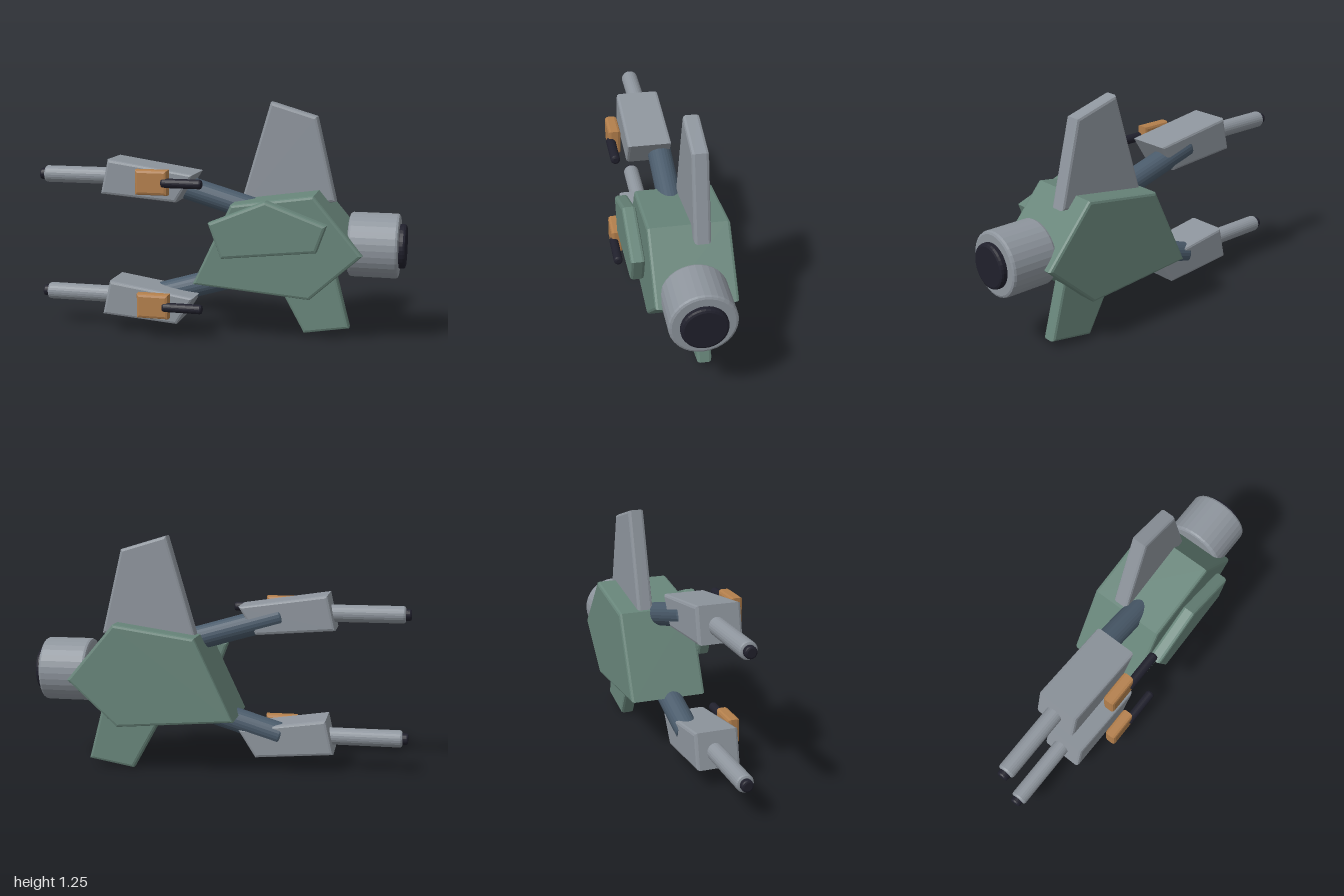
import * as THREE from 'three';

const paint = (name, color) => {
  const m = new THREE.MeshStandardMaterial({ color });
  m.name = name;
  return m;
};

export function createModel() {
  const green = paint('hull green', 0x68857a);
  const grey = paint('light grey', 0x8e959d);
  const blue = paint('strut blue', 0x4a5b6b);
  const orange = paint('orange', 0xb37f4c);
  const dark = paint('dark', 0x20202c);

  const model = new THREE.Group();
  model.name = 'spacecraft';
  const add = (parent, name, geometry, material) => {
    const mesh = new THREE.Mesh(geometry, material);
    mesh.name = name;
    parent.add(mesh);
    return mesh;
  };

  // Bevelled slab: an outline in x/y filling the depth z0..z1
  const slab = (outline, z0, z1, bevel = 0.015) => {
    const shape = new THREE.Shape(outline.map(([x, y]) => new THREE.Vector2(x, y)));
    const geometry = new THREE.ExtrudeGeometry(shape, {
      depth: z1 - z0 - 2 * bevel, bevelEnabled: true, bevelThickness: bevel,
      bevelSize: bevel, bevelOffset: -bevel, bevelSegments: 2,
    });
    return geometry.translate(0, 0, z0 + bevel);
  };

  // Faceted round bar along x with softened rims
  const bar = (x0, x1, y, z, r, bevel, sides = 24) => {
    const profile = [
      [0, x0], [r - bevel, x0], [r - bevel * 0.3, x0 + bevel * 0.3], [r, x0 + bevel],
      [r, x1 - bevel], [r - bevel * 0.3, x1 - bevel * 0.3], [r - bevel, x1], [0, x1],
    ].map(([a, b]) => new THREE.Vector2(a, b));
    const geometry = new THREE.LatheGeometry(profile, sides).rotateZ(-Math.PI / 2).toNonIndexed();
    geometry.computeVertexNormals();
    return geometry.translate(0, y, z);
  };

  // Body and its outer armour plate
  add(model, 'hull', slab([[-0.105, 0.3], [0.52, 0.25], [0.79, 0.495], [0.535, 0.798], [0.1, 0.735]],
    -0.257, 0.16), green);
  add(model, 'sidePlate', slab([[0, 0.65], [0.07, 0.465], [0.565, 0.52], [0.615, 0.66], [0.3, 0.775]],
    0.178, 0.25), green);

  // Fins
  add(model, 'upperFin', slab([[0.1, 0.68], [0.622, 0.735], [0.515, 1.183], [0.268, 1.257]],
    -0.146, -0.06), grey);
  add(model, 'lowerFin', slab([[0.46, 0.003], [0.706, 0.045], [0.625, 0.355], [0.28, 0.33]],
    -0.148, -0.07), green);

  // Engine
  add(model, 'engine', bar(0.705, 0.965, 0.52, -0.043, 0.17, 0.015, 32), grey);
  add(model, 'engineNozzle', bar(0.955, 1, 0.52, -0.043, 0.117, 0.014, 32), dark);

  // Two weapon arms: pod, barrel, muzzle, side gun and strut to the hull
  const arms = [
    { name: 'upperArm', y: 0.85, strut: [[-0.33, 0.837], [0.3, 0.655]] },
    { name: 'lowerArm', y: 0.187, strut: [[-0.33, 0.193], [0.3, 0.382]] },
  ];
  for (const { name, y, strut } of arms) {
    const arm = new THREE.Group();
    arm.name = name;
    model.add(arm);

    const pod = [[-0.612, -0.082], [-0.195, -0.115], [-0.1, 0.035], [-0.57, 0.105]];
    add(arm, 'pod', slab(pod.map(([x, dy]) => [x, y + dy]), -0.078, 0.157), grey);
    add(arm, 'barrel', bar(-0.97, -0.55, y, 0.027, 0.046, 0.012), grey);
    add(arm, 'muzzle', bar(-1, -0.96, y, 0.027, 0.031, 0.01), dark);
    add(arm, 'gunMount', slab([[-0.39, y - 0.066], [-0.216, y - 0.066], [-0.216, y + 0.066], [-0.39, y + 0.066]],
      0.181, 0.247), orange);
    add(arm, 'sideGun', bar(-0.25, -0.03, y, 0.234, 0.025, 0.012), dark);

    const [[ax, ay], [bx, by]] = strut;
    const length = Math.hypot(bx - ax, by - ay);
    const mesh = add(arm, 'strut', bar(-length / 2, length / 2, 0, 0, 0.064, 0.01), blue);
    mesh.position.set((ax + bx) / 2, (ay + by) / 2, -0.022);
    mesh.rotation.z = Math.atan2(by - ay, bx - ax);
  }
  return model;
}
